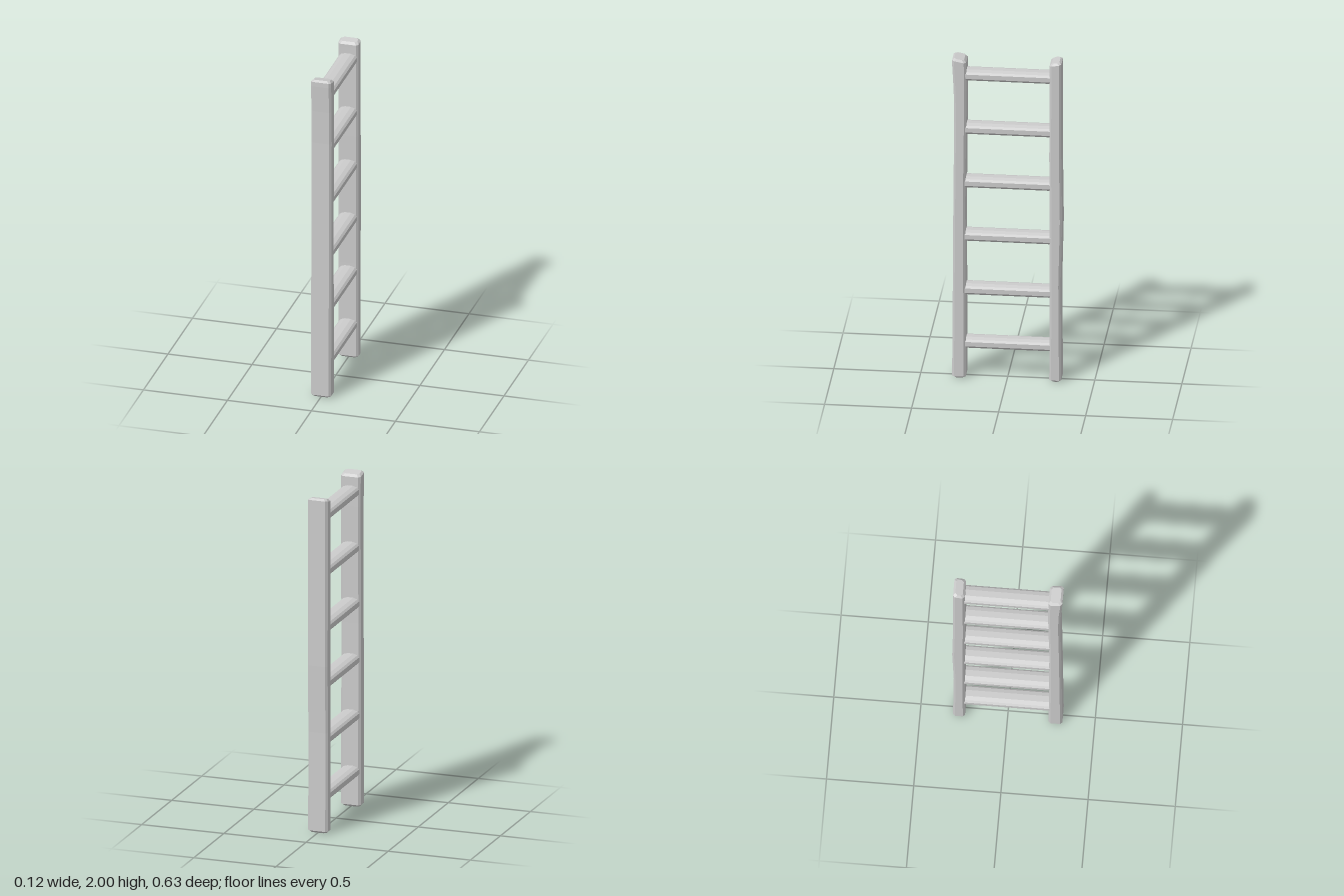
import * as THREE from 'three';

const material = new THREE.MeshStandardMaterial({ color: 0xcccccc, flatShading: true });

// Joins rings of equal length into a closed solid with flat ends
function loft(rings) {
  const pos = [];
  const n = rings[0].length;
  const tri = (a, b, c) => pos.push(...a, ...b, ...c);
  for (let r = 0; r < rings.length - 1; r++) {
    const lo = rings[r], hi = rings[r + 1];
    for (let i = 0; i < n; i++) {
      const j = (i + 1) % n;
      tri(lo[i], lo[j], hi[j]);
      tri(lo[i], hi[j], hi[i]);
    }
  }
  const first = rings[0], last = rings[rings.length - 1];
  for (let i = 1; i < n - 1; i++) {
    tri(first[0], first[i + 1], first[i]);
    tri(last[0], last[i], last[i + 1]);
  }
  const geo = new THREE.BufferGeometry();
  geo.setAttribute('position', new THREE.Float32BufferAttribute(pos, 3));
  geo.computeVertexNormals();
  return geo;
}

// Horizontal rectangle with cut corners, counter-clockwise around +y;
// the y of each corner tilts linearly from z0 to z1
function railRing(y0, y1, z0, z1, inset = 0) {
  const c = 0.012, w = 0.06 - inset, a = z0 + inset, b = z1 - inset;
  return [
    [-w + c, b], [w - c, b], [w, b - c], [w, a + c],
    [w - c, a], [-w + c, a], [-w, a + c], [-w, b - c],
  ].map(([x, z]) => [x, y0 + (y1 - y0) * (z - z0) / (z1 - z0), z]);
}

// Slightly crooked rail: stations are [y, zBack, zFront]; the top slants
function rail(stations, topBack, topFront) {
  const bevel = 0.012;
  const [, b0, f0] = stations[0];
  const [, b1, f1] = stations[stations.length - 1];
  return loft([
    railRing(0, 0, b0, f0, bevel),
    ...stations.map(([y, b, f]) => railRing(y, y, b, f)),
    railRing(topBack - bevel, topFront - bevel, b1, f1),
    railRing(topBack, topFront, b1, f1, bevel),
  ]);
}

export function createModel() {
  const group = new THREE.Group();
  const add = (name, geo) => {
    const mesh = new THREE.Mesh(geo, material);
    mesh.name = name;
    group.add(mesh);
    return mesh;
  };

  // Upright rails
  add('frontRail', rail([
    [0.012, 0.236, 0.315], [0.6, 0.238, 0.311], [1.1, 0.24, 0.308],
    [1.6, 0.234, 0.303], [1.8, 0.233, 0.306], [1.96, 0.235, 0.315],
  ], 1.985, 2.0));
  add('backRail', rail([
    [0.012, -0.312, -0.243], [0.6, -0.308, -0.245], [1.0, -0.317, -0.245],
    [1.4, -0.312, -0.243], [1.96, -0.312, -0.245],
  ], 2.0, 1.988));

  // Rungs with cut edges and a gently crowned top
  const profile = [
    [-0.042, -0.03], [0.042, -0.03], [0.053, -0.017], [0.053, 0.01],
    [0.042, 0.021], [0.018, 0.029], [-0.018, 0.029], [-0.042, 0.021],
    [-0.053, 0.01], [-0.053, -0.017],
  ];
  const rungGeo = loft([-0.26, 0.26].map((z) => profile.map(([x, y]) => [x, y, z])));
  for (let i = 0; i < 6; i++) {
    add('rung' + (i + 1), rungGeo).position.y = 0.217 + i * 0.335;
  }
  return group;
}
